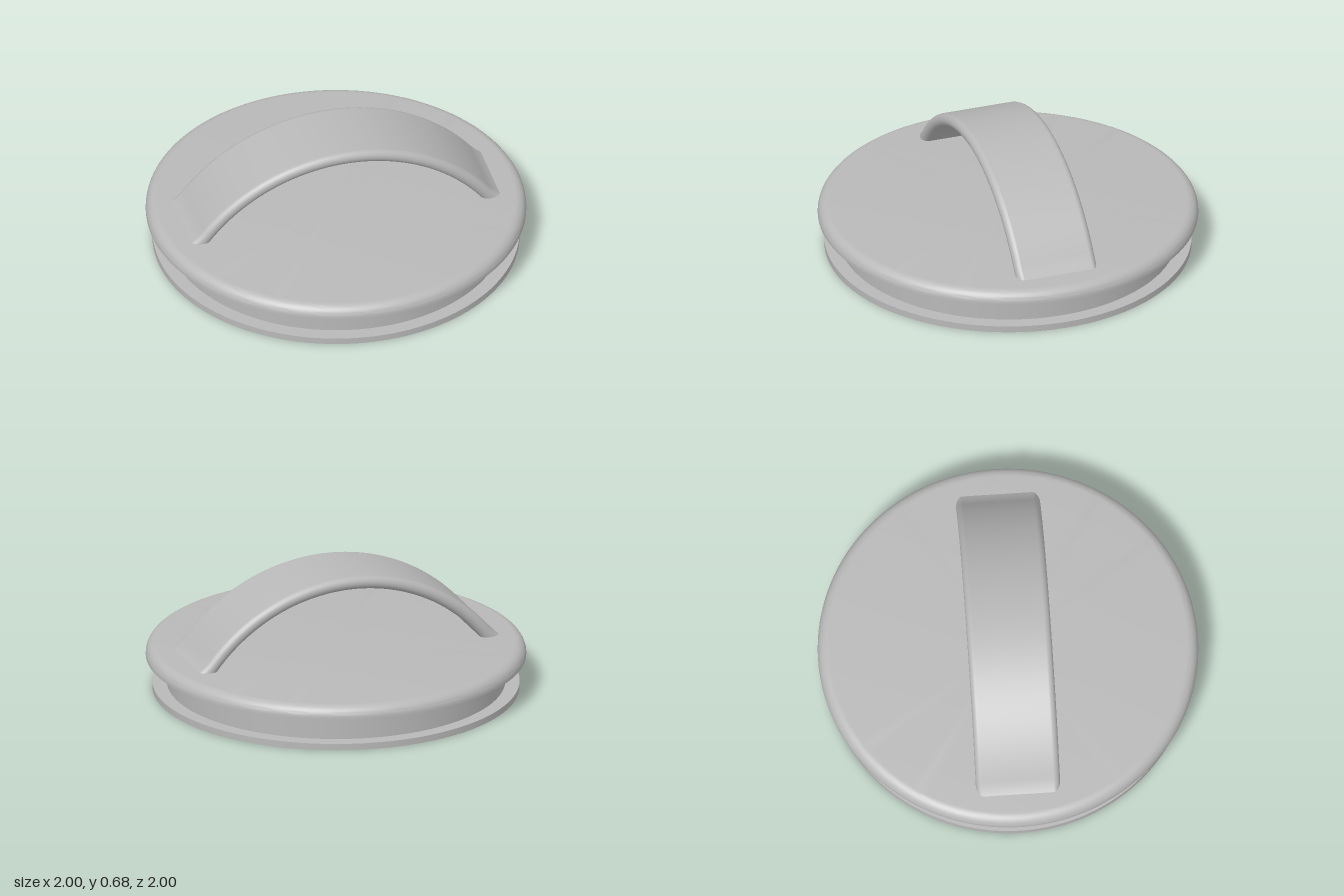
import * as THREE from 'three';
import { toCreasedNormals } from 'three/addons/utils/BufferGeometryUtils.js';

const SEGMENTS = 128;

// Solid of revolution with crisp edges; profile runs bottom to top
function turned(points, segments = SEGMENTS) {
  const profile = points.map(([x, y]) => new THREE.Vector2(x, y));
  return toCreasedNormals(new THREE.LatheGeometry(profile, segments), Math.PI / 6);
}

// Band with rounded sides swept along a circular arc, flaring on top at its feet
function handleGeometry() {
  const centreY = -0.325, radius = 0.97, half = 0.035, halfWidth = 0.222;
  const endAngle = THREE.MathUtils.degToRad(57.5);
  const flareStart = THREE.MathUtils.degToRad(51);
  const steps = 96, roundSteps = 10;

  // Stadium cross-section as [radial offset, z]
  const section = [];
  for (const side of [1, -1]) {
    for (let k = 0; k <= roundSteps; k++) {
      const a = Math.PI * (k / roundSteps - 0.5);
      section.push([side * half * Math.sin(a), side * (halfWidth - half + half * Math.cos(a))]);
    }
  }

  const positions = [], index = [], n = section.length;
  for (let i = 0; i <= steps; i++) {
    const t = endAngle * (2 * i / steps - 1);
    const f = Math.max(0, (Math.abs(t) - flareStart) / (endAngle - flareStart));
    for (const [offset, z] of section) {
      const r = radius + offset + (offset > 0 ? 0.03 * f * f * offset / half : 0);
      positions.push(r * Math.sin(t), centreY + r * Math.cos(t), z);
    }
  }
  for (let i = 0; i < steps; i++) {
    for (let j = 0; j < n; j++) {
      const a = i * n + j, b = i * n + (j + 1) % n;
      index.push(a, a + n, b, b, a + n, b + n);
    }
  }
  const geometry = new THREE.BufferGeometry();
  geometry.setAttribute('position', new THREE.Float32BufferAttribute(positions, 3));
  geometry.setIndex(index);
  geometry.computeVertexNormals();
  return geometry;
}

export function createModel() {
  const model = new THREE.Group();
  model.name = 'lidWithHandle';
  const grey = new THREE.MeshStandardMaterial({ color: 0xb8b8b8 });
  grey.name = 'plain grey';

  const add = (name, geometry) => {
    const mesh = new THREE.Mesh(geometry, grey);
    mesh.name = name;
    model.add(mesh);
    return mesh;
  };

  // Bottom flange edge and the recessed neck
  add('flangeAndNeck', turned([[0.965, 0], [0.965, 0.035], [0.89, 0.035], [0.89, 0.185]]));

  // Top plate with a rounded upper rim
  const plate = [[0.89, 0.185], [1, 0.185]];
  for (let k = 0; k <= 10; k++) {
    const a = (k / 10) * Math.PI / 2;
    plate.push([0.94 + 0.06 * Math.cos(a), 0.192 + 0.06 * Math.sin(a)]);
  }
  plate.push([0, 0.252]);
  add('topPlate', turned(plate));

  // Underside, pierced by four small blind holes
  const holeRadius = 0.024, holeOffset = 0.45;
  const underside = new THREE.Shape().absarc(0, 0, 0.965, 0, Math.PI * 2);
  for (const x of [-holeOffset, holeOffset]) {
    for (const z of [-holeOffset, holeOffset]) {
      underside.holes.push(new THREE.Path().absarc(x, z, holeRadius, 0, Math.PI * 2, true));
      const hole = add('screwHole', turned([[0, 0.06], [holeRadius, 0.06], [holeRadius, 0]], 24));
      hole.position.set(x, 0, z);
    }
  }
  add('underside', new THREE.ShapeGeometry(underside, SEGMENTS / 2).rotateX(Math.PI / 2));

  // Arched carrying handle
  add('handle', handleGeometry());

  return model;
}
